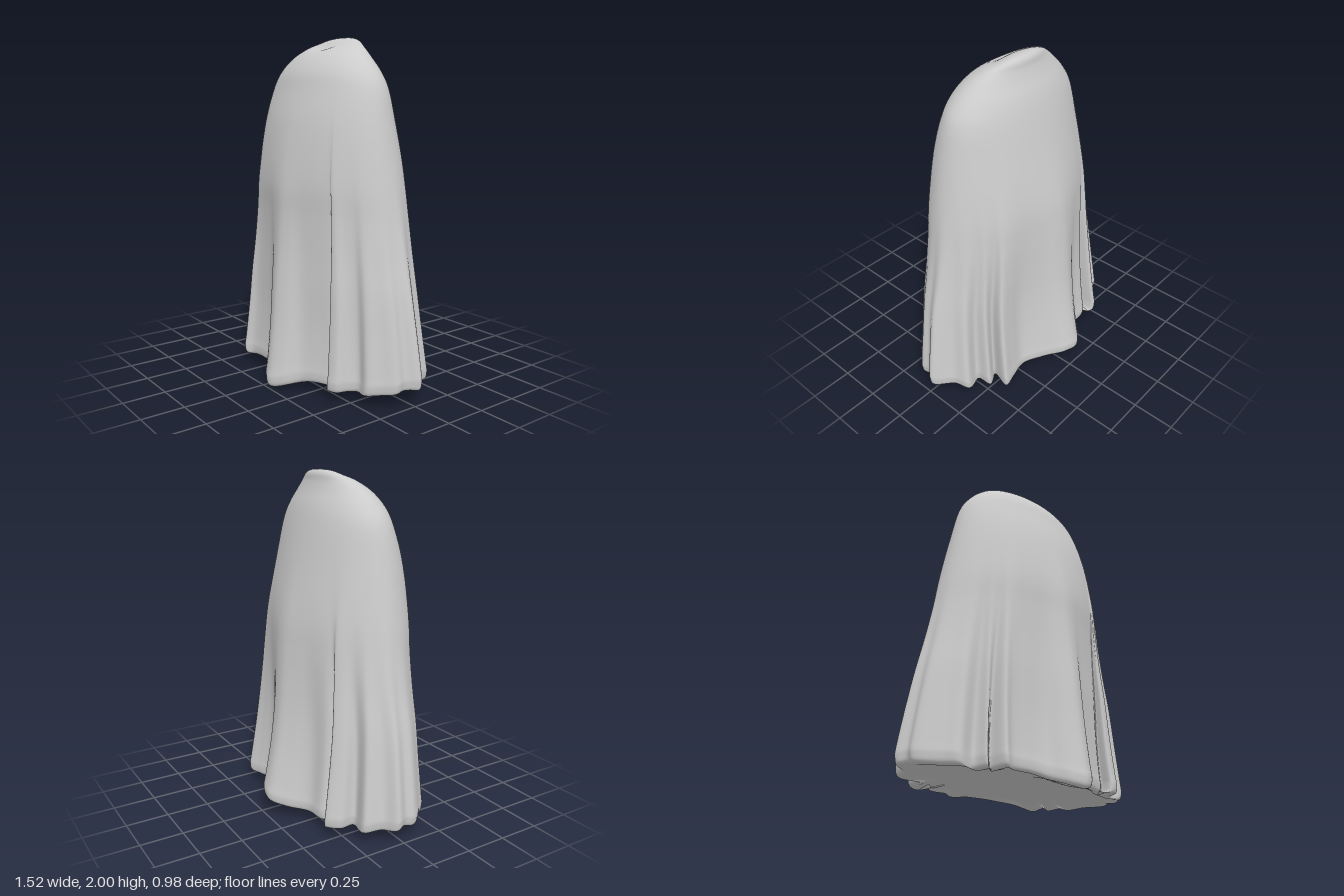
import * as THREE from 'three';

const COLS = 320;
const SUB = 6; // rings between two profile stations
const HEM_STATION = 14; // profile station at the widest point of the hem

// Pleated hem outline (x, z), running from the left side round the front
const HEM = [
  [0.76, -0.03], [0.715, 0.04], [0.715, 0.1], [0.66, 0.16], [0.60, 0.225], [0.53, 0.215], [0.49, 0.25], [0.46, 0.32],
  [0.40, 0.335], [0.405, 0.25], [0.36, 0.285], [0.28, 0.32], [0.18, 0.37], [0.12, 0.45], [0.04, 0.49], [-0.04, 0.455],
  [-0.13, 0.37], [-0.25, 0.355], [-0.34, 0.36], [-0.40, 0.385], [-0.42, 0.27], [-0.46, 0.31], [-0.49, 0.23],
  [-0.58, 0.25], [-0.64, 0.19], [-0.74, 0.08], [-0.735, 0.02], [-0.76, -0.05], [-0.69, -0.10], [-0.65, -0.205],
  [-0.54, -0.19], [-0.53, -0.28], [-0.46, -0.34], [-0.43, -0.23], [-0.38, -0.31], [-0.27, -0.33], [-0.16, -0.43],
  [-0.07, -0.49], [0.02, -0.475], [0.13, -0.39], [0.25, -0.32], [0.36, -0.34], [0.45, -0.36], [0.43, -0.24],
  [0.51, -0.28], [0.53, -0.19], [0.62, -0.21], [0.66, -0.12],
];

// Profile stations from crown to hem and in under the base: y, half width, front z, back z
const PROFILE = [
  [2.0, 0, -0.08, -0.08], [1.995, 0.09, -0.05, -0.105], [1.975, 0.17, 0.01, -0.122], [1.935, 0.245, 0.09, -0.13],
  [1.88, 0.32, 0.165, -0.15], [1.8, 0.4, 0.225, -0.185], [1.7, 0.46, 0.262, -0.215], [1.5, 0.51, 0.325, -0.265],
  [1.2, 0.57, 0.383, -0.34], [1.0, 0.605, 0.395, -0.367], [0.8, 0.645, 0.41, -0.385], [0.6, 0.69, 0.43, -0.405],
  [0.4, 0.725, 0.45, -0.435], [0.2, 0.755, 0.478, -0.475], [0.13, 0.76, 0.49, -0.49], [0.085, 0.735, 0.475, -0.475],
  [0.09, 0.62, 0.4, -0.4], [0.11, 0.3, 0.2, -0.2], [0.12, 0, 0, 0],
];

const smooth = (v) => THREE.MathUtils.smoothstep(v, 0, 1);
const bump = (v, width) => Math.exp(-((v / width) ** 2));

// Average each outline point with its neighbours, leaving only the broad drapes
function soften(points, reach) {
  return points.map((_, c) => {
    const sum = new THREE.Vector3();
    for (let k = -reach; k <= reach; k++) sum.add(points[(c + k + COLS) % COLS]);
    return sum.divideScalar(2 * reach + 1);
  });
}

function createCloakGeometry() {
  // Hem outline scaled to a unit square, and evenly ordered angles for the plain body
  const hemCurve = new THREE.CatmullRomCurve3(HEM.map(([x, z]) => new THREE.Vector3(x / 0.76, 0, z / 0.49)), true);
  const hem = [];
  for (let c = 0; c < COLS; c++) hem.push(hemCurve.getPoint(c / COLS));
  const soft = soften(hem, 9);
  const angles = soft.map((p, c) => {
    const a = Math.atan2(p.z, p.x);
    return c > COLS / 4 && a < 0 ? a + Math.PI * 2 : a;
  }).sort((a, b) => a - b);

  const rail = (side) => new THREE.CatmullRomCurve3(
    PROFILE.map((s) => new THREE.Vector3(s[1], s[0], s[side])), false, 'catmullrom', 0.5);
  const front = rail(2);
  const back = rail(3);

  const rows = (PROFILE.length - 1) * SUB;
  const positions = [];
  const indices = [];
  for (let r = 0; r <= rows; r++) {
    const f = front.getPoint(r / rows);
    const b = back.getPoint(r / rows);
    const width = Math.max(f.x, 0);
    const mid = (f.z + b.z) / 2;
    const half = Math.max((f.z - b.z) / 2, 0);
    // Broad drapes start at the shoulders, sharp folds further down; the base is plain
    const base = r > HEM_STATION * SUB ? smooth((width - 0.4) / 0.34) : 1;
    const drape = base * (1 - smooth((f.y - 0.1) / 1.65));
    const fold = base * (1 - smooth((f.y - 0.15) / 1.25));
    const low = (1 - smooth((f.y - 0.08) / 0.6)) * Math.min(1, width / 0.7);
    for (let c = 0; c < COLS; c++) {
      const a = angles[c];
      const nx = THREE.MathUtils.lerp(Math.cos(a), soft[c].x, drape) + (hem[c].x - soft[c].x) * fold;
      const nz = THREE.MathUtils.lerp(Math.sin(a), soft[c].z, drape) + (hem[c].z - soft[c].z) * fold;
      const x = width * nx;
      const z = mid + half * nz;
      let y = f.y;
      // Wavy hem: long point in front, raised point behind
      const peak = bump(x - 0.03, 0.14);
      y += low * (-0.03 * Math.abs(Math.sin(2 * a)) + peak * (z > 0 ? -0.08 : 0.02) * smooth(Math.abs(z) / 0.35));
      // Shallow curved dent below the crown
      if (f.y > 1.7) y -= 0.02 * bump(x, 0.12) * bump(z - 0.06 + x * x * 3, 0.05);
      positions.push(x, Math.max(y, 0), z);
      if (r < rows) {
        const n = (c + 1) % COLS;
        const i = r * COLS;
        indices.push(i + c, i + n, i + COLS + c, i + n, i + COLS + n, i + COLS + c);
      }
    }
  }
  const geometry = new THREE.BufferGeometry();
  geometry.setAttribute('position', new THREE.Float32BufferAttribute(positions, 3));
  geometry.setIndex(indices);
  geometry.computeVertexNormals();
  return geometry;
}

export function createModel() {
  const group = new THREE.Group();
  group.name = 'drapedCloak';
  const material = new THREE.MeshStandardMaterial({ color: 0xcccccc, side: THREE.DoubleSide });
  const cloak = new THREE.Mesh(createCloakGeometry(), material);
  cloak.name = 'cloak';
  group.add(cloak);
  return group;
}
